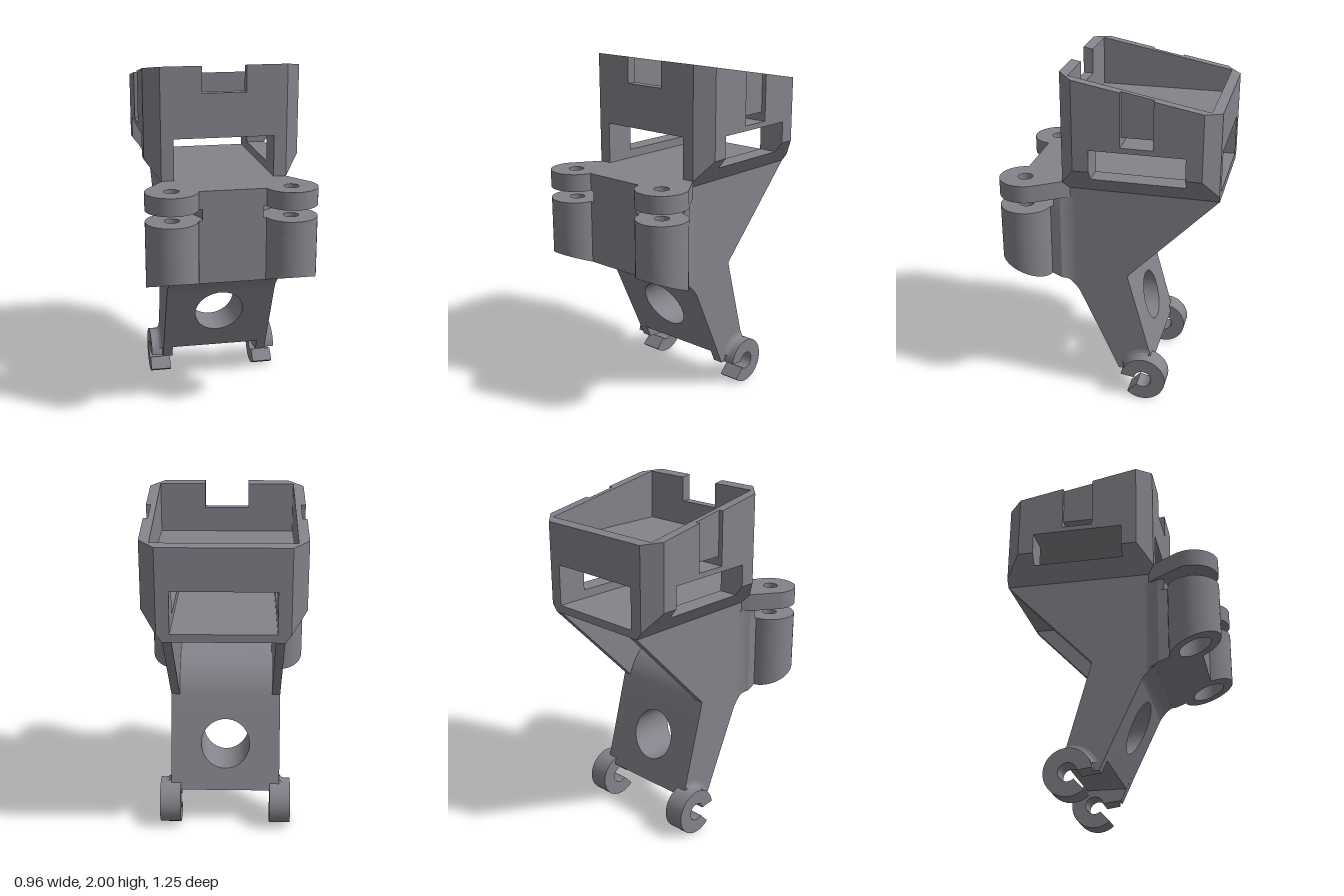
import * as THREE from 'three';
import { toCreasedNormals } from 'three/addons/utils/BufferGeometryUtils.js';

const grey = new THREE.MeshStandardMaterial({ color: 0x85838b });
grey.name = 'grey plastic';

const toShape = (pts, holes = []) => {
  const s = new THREE.Shape(pts.map(p => new THREE.Vector2(p[0], p[1])));
  for (const h of holes) s.holes.push(new THREE.Path(h.map(p => new THREE.Vector2(p[0], p[1]))));
  return s;
};
const raw = (pts, holes, depth) =>
  new THREE.ExtrudeGeometry(toShape(pts, holes), { depth, bevelEnabled: false });

// Extrusions along each axis: outlines are (z,y), (x,z) and (x,y)
const alongX = (pts, x0, x1) => raw(pts, [], x1 - x0).rotateY(-Math.PI / 2).translate(x1, 0, 0);
const alongY = (pts, y0, y1, holes) => raw(pts, holes, y1 - y0).rotateX(Math.PI / 2).translate(0, y1, 0);
const alongZ = (pts, z0, z1, holes) => raw(pts, holes, z1 - z0).translate(0, 0, z0);

const rect = (a0, b0, a1, b1) => [[a0, b0], [a1, b0], [a1, b1], [a0, b1]];
const arc = (cx, cy, r, from, to, n = 32) => Array.from({ length: n + 1 }, (_, i) => {
  const a = THREE.MathUtils.degToRad(from + (to - from) * i / n);
  return [cx + r * Math.cos(a), cy + r * Math.sin(a)];
});
const circle = (cx, cy, r) => arc(cx, cy, r, 0, 360, 40).slice(0, -1);
const mirrored = pts => [...pts, ...pts.map(([x, z]) => [-x, z]).reverse()];

// Moves vertices by a rule
function warp(geo, rule) {
  const p = geo.attributes.position, v = new THREE.Vector3();
  for (let i = 0; i < p.count; i++) {
    rule(v.fromBufferAttribute(p, i));
    p.setXYZ(i, v.x, v.y, v.z);
  }
  geo.computeVertexNormals();
  return geo;
}
const near = (a, b) => Math.abs(a - b) < 1e-4;

// Sloping planes that cut the parts
const rimY = z => 2 - (0.255 - z) * 0.1875;
const flareY = x => 1.32 + (Math.abs(x) - 0.325) * 1.304;
const bossY = z => 0.885 - (0.63 - z) * 0.38;
const cutTray = v => {
  if (near(v.y, 2)) v.y = rimY(v.z);
  else if (near(v.y, 1.47)) v.y = flareY(v.x);
};
const cutBoss = v => { if (near(v.y, 0.7)) v.y = bossY(v.z); };
const legFront = y => -0.06 + (y - 0.16) * 0.468;
const legBack = y => -0.11 - (0.79 - y) * 0.2745;

const BOSS_X = 0.332, BOSS_Z = 0.478, BOSS_R = 0.147, FACE_Z = 0.505;

export function createModel() {
  const model = new THREE.Group();
  const add = (name, geo) => {
    const m = new THREE.Mesh(toCreasedNormals(geo, 0.45), grey);
    m.name = name;
    model.add(m);
  };
  const both = (name, make) => {
    add('left' + name, make(1));
    add('right' + name, make(-1));
  };
  const span = (pts, s, a, b) => s > 0 ? alongX(pts, a, b) : alongX(pts, -b, -a);

  // Tray: front and back walls with windows
  const windowHole = rect(-0.285, 1.365, 0.285, 1.6);
  add('trayFront', warp(alongZ([[-0.325, 1.32], [0.325, 1.32], [0.325, 2], [0.125, 2], [0.125, 1.85],
    [-0.125, 1.85], [-0.125, 2], [-0.325, 2]], 0.2, 0.255, [windowHole]), cutTray));
  add('trayBack', warp(alongZ(rect(-0.325, 1.32, 0.325, 2), -0.625, -0.57, [windowHole]), cutTray));

  // Tray: chamfered corner posts, and solid pillars inside them
  const post = [[0.443, 0.17], [0.357, 0.255], [0.325, 0.255], [0.325, 0.2], [0.385, 0.2], [0.385, 0.17]];
  for (const end of ['Front', 'Back']) {
    const endZ = z => end === 'Front' ? z : -0.37 - z;
    both(end + 'Post', s => warp(alongY(post.map(([x, z]) => [s * x, endZ(z)]), 1.47, 2), cutTray));
    both(end + 'Pillar', s => alongY(rect(0.285, 0.08, 0.385, 0.2).map(([x, z]) => [s * x, endZ(z)]),
      1.4, 1.6));
  }

  // Tray: side walls, with a slot through the inside layer and a groove on the outside one
  const wallEnds = [[[-0.54, 2], [-0.54, 1.47], [-0.45, 1.47], [-0.45, 1.6]],
    [[0.08, 1.6], [0.08, 1.47], [0.17, 1.47], [0.17, 2]]];
  const slot = [[-0.275, 1.6], [-0.275, 1.68], [-0.095, 1.68], [-0.095, 1.6]];
  const groove = [[-0.095, 2], [-0.095, 1.63], [-0.275, 1.63], [-0.275, 2]];
  both('WallInside', s => warp(span([...wallEnds[0], ...slot, ...wallEnds[1]], s, 0.385, 0.417), cutTray));
  both('WallOutside', s => warp(span([...wallEnds[0], ...wallEnds[1], ...groove], s, 0.417, 0.443), cutTray));

  // Tray: flared sills and lower floor
  both('Sill', s => alongZ([[0.285, 1.32], [0.325, 1.32], [0.398, 1.415], [0.285, 1.415]]
    .map(([x, y]) => [s * x, y]), -0.57, 0.2));
  add('trayFloor', alongY(rect(-0.325, -0.625, 0.325, 0.255), 1.32, 1.365));

  // Tray: thick upper floor with a slot running through it from side to side
  add('shelfBottom', alongX(rect(-0.57, 1.6, 0.2, 1.63), -0.385, 0.385));
  both('SlotLip', s => span(rect(-0.275, 1.6, -0.095, 1.63), s, 0.385, 0.417));
  add('shelfBack', alongX(rect(-0.57, 1.63, -0.275, 1.68), -0.385, 0.385));
  add('shelfFront', alongX(rect(-0.095, 1.63, 0.2, 1.68), -0.385, 0.385));
  add('shelfTop', alongX(rect(-0.57, 1.68, 0.2, 1.71), -0.385, 0.385));

  // Front flange with two ears
  add('flange', alongY(mirrored([[0.325, 0.22], [0.357, 0.255], ...arc(BOSS_X, BOSS_Z, BOSS_R, -28, 169.4)]),
    1.265, 1.365, [circle(BOSS_X, BOSS_Z, 0.042), circle(-BOSS_X, BOSS_Z, 0.042)]));

  // Front block, cut round the bosses, and its narrow neck
  const blockPlan = r => {
    const end = -180 - THREE.MathUtils.radToDeg(Math.asin((FACE_Z - BOSS_Z) / r));
    return mirrored([[0.325, 0.2], [0.328, 0.225], [0.336, 0.25], [0.35, 0.275],
      ...arc(BOSS_X, BOSS_Z, r, -83, end, 20)]);
  };
  add('frontBlock', warp(alongY(blockPlan(0.12), 0.7, 1.2), cutBoss));
  add('frontNeck', alongY(blockPlan(0.165), 1.2, 1.265));

  // Bosses with a wide bore below and a small hole above
  both('Boss', s => warp(alongY(circle(s * BOSS_X, BOSS_Z, BOSS_R), 0.7, 1.12,
    [circle(s * BOSS_X, BOSS_Z, 0.09)]), cutBoss));
  both('BossCap', s => alongY(circle(s * BOSS_X, BOSS_Z, BOSS_R), 1.12, 1.2,
    [circle(s * BOSS_X, BOSS_Z, 0.042)]));

  // Core behind the block: the leg bends forward into it under the hollow
  const under = [[0.25, 0.74], [0.22, 0.717], [0.194, 0.69], [legFront(0.66), 0.66], [legBack(0.66), 0.66]];
  const bend = new THREE.QuadraticBezierCurve(new THREE.Vector2(-0.11, 0.79),
    new THREE.Vector2(-0.06, 0.95), new THREE.Vector2(0.12, 1.01)).getPoints(12).map(p => [p.x, p.y]);
  add('core', alongX([[0.25, 1.365], ...under, ...bend, [0.2, 1.04], [0.2, 1.365]], -0.325, 0.325));

  // Side webs under the tray
  both('Web', s => span([[0.25, 1.32], ...under, [-0.11, 0.79], [-0.625, 1.32]], s, 0.275, 0.325));

  // Slanted leg with a round opening
  add('leg', warp(alongZ(rect(-0.325, 0.225, 0.325, 0.66), 0, 1, [circle(0, 0.5, 0.145)]), v => {
    v.z = v.z > 0.5 ? legFront(v.y) : legBack(v.y);
  }));

  // Leg tips, open clips and the fillets between them
  both('LegTip', s => span([[legFront(0.3), 0.3], [-0.06, 0.155], [-0.165, 0.145], [-0.17, 0.175],
    [-0.2, 0.2], [-0.25, 0.23], [legBack(0.3), 0.3]], s, 0.267, 0.325));
  both('Clip', s => span([...arc(-0.22, 0.135, 0.135, 8, 313),
    ...arc(-0.22, 0.135, 0.052, 313, 8)], s, 0.267, 0.39));
  both('ClipFillet', s => {
    const profile = [[0.168, 0.325], [0.15, 0.331], [0.139, 0.343], [0.134, 0.362]]
      .map(([r, h]) => new THREE.Vector2(r, s * h));
    if (s < 0) profile.reverse();
    const rad = THREE.MathUtils.degToRad;
    return new THREE.LatheGeometry(profile, 12, rad(-100), rad(75))
      .rotateZ(-Math.PI / 2).translate(0, 0.135, -0.22);
  });

  return model;
}
